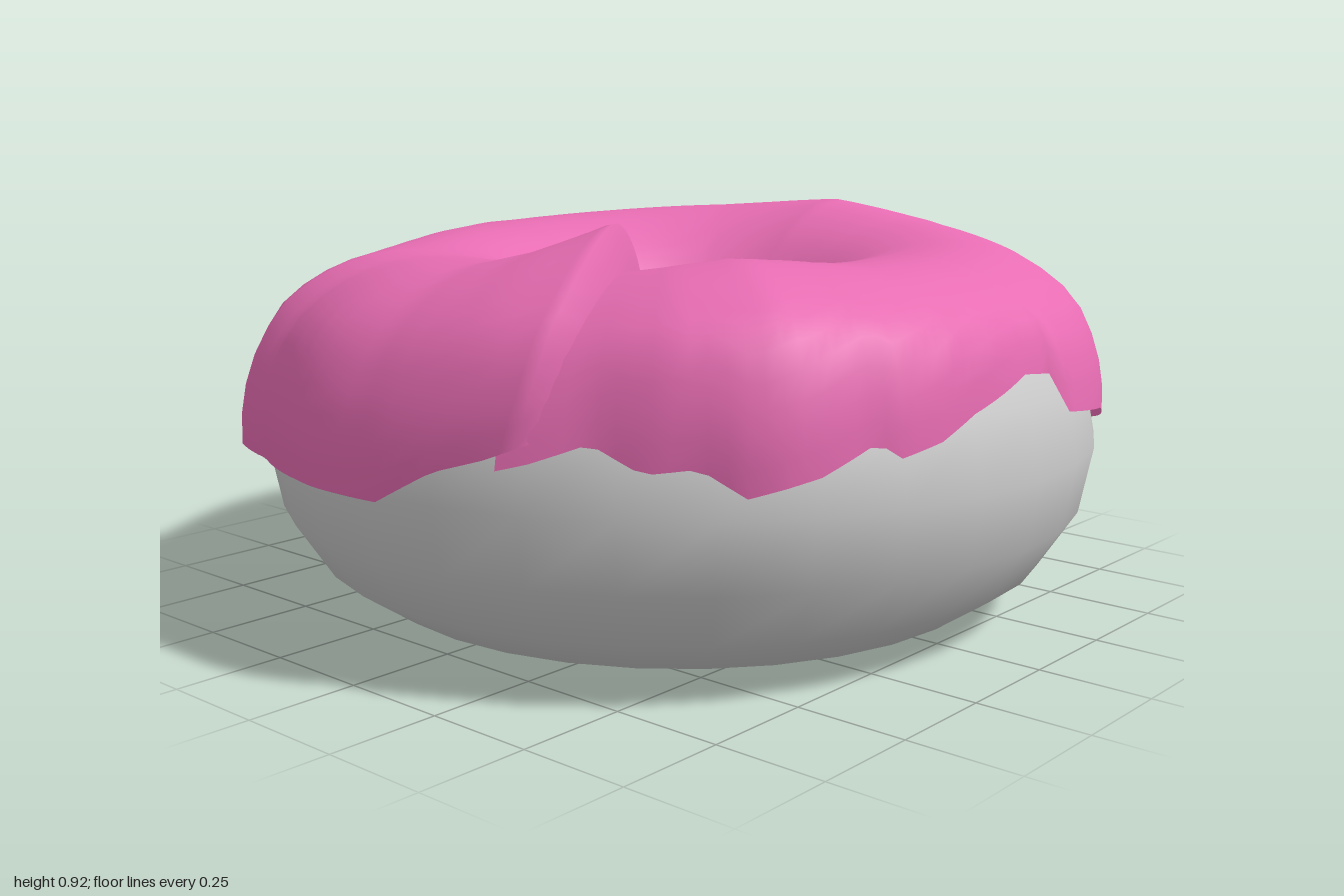
import * as THREE from 'three';

const RING = 0.585, TUBE = 0.39, MID = 0.4, RAD = Math.PI / 180;

// Linear interpolation through [position, value] pairs
function keyed(keys, x) {
  if (x <= keys[0][0]) return keys[0][1];
  for (let i = 1; i < keys.length; i++) {
    const [x0, y0] = keys[i - 1], [x1, y1] = keys[i];
    if (x <= x1) return y0 + (y1 - y0) * (x - x0) / (x1 - x0 || 1);
  }
  return keys[keys.length - 1][1];
}
const around = (keys, deg) => keyed(keys, ((deg % 360) + 360) % 360);

// Height of the outer icing rim, by angle from +x towards +z
const OUTER_RIM = [[0, .47], [8, .44], [15, .4], [28, .46], [42, .38], [55, .43], [65, .48], [82, .52],
  [84, .6], [90, .61], [102, .56], [108, .52], [114, .5], [117, .53], [124, .48], [132, .45], [137, .5],
  [143, .49], [149, .54], [156, .5], [163, .47], [172, .4], [190, .4], [216, .39], [218, .52],
  [230, .53], [240, .55], [255, .55], [270, .49], [285, .46], [302, .43], [304, .47],
  [320, .48], [343, .53], [360, .47]];
// Height of the inner icing rim
const INNER_RIM = [[0, .42], [100, .45], [115, .63], [130, .71], [142, .58], [150, .62], [158, .7],
  [192, .7], [200, .46], [230, .42], [360, .42]];
// Icing thickness on the outer shoulder, the crest and the inner slope;
// the run starts with a raised lip at 150 degrees and ends tucked below it
const SHOULDER = [[150, .02], [152, .1], [163, .09], [178, .06], [190, .06], [208, .04], [217, .07],
  [224, .05], [233, .03], [245, .025], [262, .05], [270, .06], [285, .05], [297, .06], [318, .08],
  [335, .08], [357, .1], [395, .075], [420, .06], [450, .055], [465, .08], [480, .1], [488, .12],
  [500, .1], [510, .05], [520, .01]];
const CREST = [[150, .02], [152, .125], [158, .1], [168, .06], [180, .03], [205, .02], [235, .03], [270, .045],
  [300, .06], [330, .075], [360, .1], [385, .06], [410, .04], [450, .03], [465, .03],
  [480, .045], [490, .05], [505, .03], [520, .01]];
const SLOPE = [[150, .02], [152, .07], [170, .03], [220, .025], [270, .05], [330, .03],
  [450, .025], [505, .02], [520, .01]];
// Thickness at the outer rim, flaring where the icing stands off the dough
const FLARE = [[150, .015], [165, .03], [185, .04], [205, .02], [217, .06], [219, .03], [228, .012],
  [250, .012], [270, .03], [290, .015], [465, .015], [488, .05], [505, .02], [520, .01]];

// Grid surface whose point is given by at(u, v), u and v in 0..1
function gridSurface(at, nu, nv) {
  const pos = [], idx = [];
  for (let i = 0; i <= nu; i++) for (let j = 0; j <= nv; j++) pos.push(...at(i / nu, j / nv));
  for (let i = 0; i < nu; i++) for (let j = 0; j < nv; j++) {
    const a = i * (nv + 1) + j, b = a + nv + 1;
    idx.push(a, a + 1, b, b, a + 1, b + 1);
  }
  const g = new THREE.BufferGeometry();
  g.setAttribute('position', new THREE.Float32BufferAttribute(pos, 3));
  g.setIndex(idx);
  g.computeVertexNormals();
  return g;
}

// Point above the dough: theta round the ring, phi round the tube, in degrees
function onRing(theta, phi, lift) {
  const r = RING + (TUBE + lift) * Math.cos(phi * RAD);
  const y = MID + (MID + lift) * Math.sin(phi * RAD);
  return [r * Math.cos(theta * RAD), y, r * Math.sin(theta * RAD) + 0.01];
}
const phiAt = y => Math.asin((y - MID) / MID) / RAD;

function icingPoint(u, v) {
  const theta = 150 + u * 370;
  const from = phiAt(around(OUTER_RIM, theta)), to = 180 - phiAt(around(INNER_RIM, theta));
  const phi = from + (to - from) * v;
  const lift = keyed([[from, keyed(FLARE, theta)], [Math.max(from + 12, 42), keyed(SHOULDER, theta)],
    [90, keyed(CREST, theta)], [125, keyed(SLOPE, theta)], [to, .012]], phi);
  // The lip bows, so its crest leads both of its ends
  const bow = 6 * (2 * v - 1) ** 2 * Math.max(0, 1 - 8 * u);
  return onRing(theta + bow, phi, lift);
}

export function createModel() {
  const model = new THREE.Group();
  const doughMat = new THREE.MeshStandardMaterial({ color: 0xcccccc, side: THREE.DoubleSide });
  const icingMat = new THREE.MeshStandardMaterial({ color: 0xe86db3, side: THREE.DoubleSide });
  const add = (name, geometry, material) => {
    const mesh = new THREE.Mesh(geometry, material);
    mesh.name = name;
    model.add(mesh);
  };

  // Dough ring, with the thin web across its hole
  const ring = new THREE.TorusGeometry(RING, TUBE, 16, 32);
  ring.rotateX(Math.PI / 2).scale(1, MID / TUBE, 1).translate(0, MID, 0.01);
  add('dough', ring, doughMat);
  const web = new THREE.CircleGeometry(RING - TUBE + 0.005, 32);
  web.rotateX(-Math.PI / 2).translate(0, MID, 0.01);
  add('holeWeb', web, doughMat);

  // Icing, wrapped round once so that its start overlaps its end
  add('icing', gridSurface(icingPoint, 185, 20), icingMat);

  // Thin drip running down the left side, with a small foot
  add('drip', gridSurface((u, v) => onRing(14.5 + 2.5 * u, -27 + 28 * v, .01), 2, 8), icingMat);
  add('dripFoot', gridSurface((u, v) => onRing(16 + 10 * u, -27 + 2 * v * (1 - u), .01), 4, 1), icingMat);

  return model;
}
